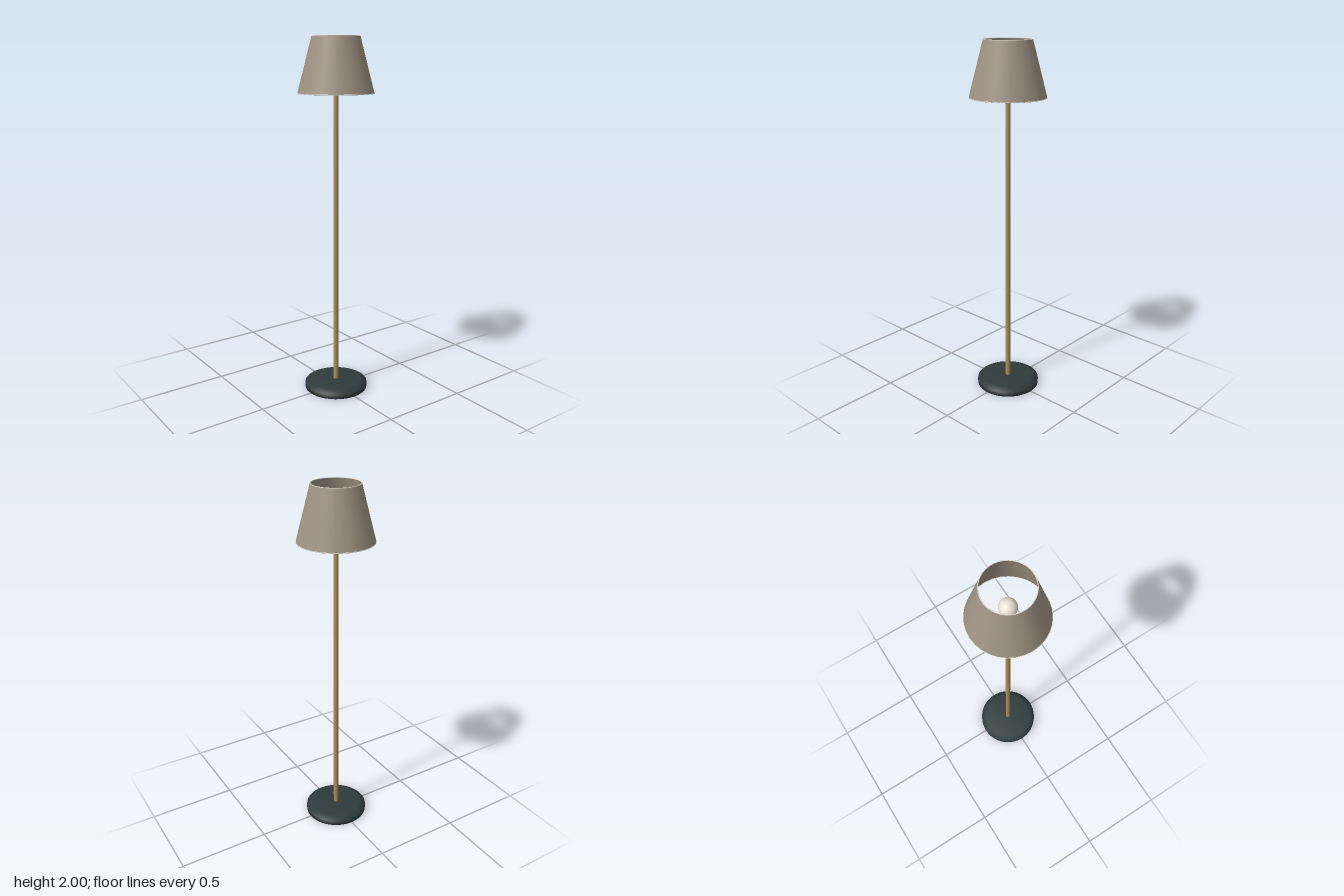
import * as THREE from 'three';

const material = (name, color, side = THREE.FrontSide) => {
  const m = new THREE.MeshStandardMaterial({ color, side });
  m.name = name;
  return m;
};

export function createModel() {
  const lamp = new THREE.Group();
  lamp.name = 'floorLamp';

  const darkMetal = material('dark metal', 0x2f3b3b);
  const brass = material('brass', 0xb08d57);
  const fabric = material('taupe fabric', 0xa09483, THREE.DoubleSide);
  const cream = material('cream', 0xeee8da);

  const add = (name, geometry, mat, y = 0) => {
    const mesh = new THREE.Mesh(geometry, mat);
    mesh.name = name;
    mesh.position.y = y;
    lamp.add(mesh);
    return mesh;
  };
  // Turned solid from [radius, height] pairs, listed bottom to top
  const turned = (profile, segments) =>
    new THREE.LatheGeometry(profile.map(([r, y]) => new THREE.Vector2(r, y)), segments);

  // Weighted disc base with a bevelled upper edge
  add('base', turned([[0, 0], [0.18, 0], [0.18, 0.028], [0.145, 0.045], [0, 0.045]], 48), darkMetal);

  // Slim pole
  add('pole', turned([[0, 0.04], [0.014, 0.04], [0.014, 1.69], [0, 1.69]], 20), brass);

  // Open tapered shade
  const [bottomRadius, topRadius, bottomY, topY] = [0.208, 0.13, 1.7, 1.998];
  add('shade', turned([[bottomRadius, bottomY], [topRadius, topY]], 32), fabric);

  // Fine trim rings on both shade rims
  const trim = (name, radius, y) => {
    const ring = add(name, new THREE.TorusGeometry(radius, 0.0022, 6, 64), cream, y);
    ring.rotation.x = Math.PI / 2;
  };
  trim('shadeTopTrim', topRadius - 0.0015, topY);
  trim('shadeBottomTrim', bottomRadius - 0.0015, bottomY + 0.001);

  // Round bulb inside the shade
  add('bulb', new THREE.SphereGeometry(0.046, 32, 20), cream, 1.8);

  return lamp;
}
